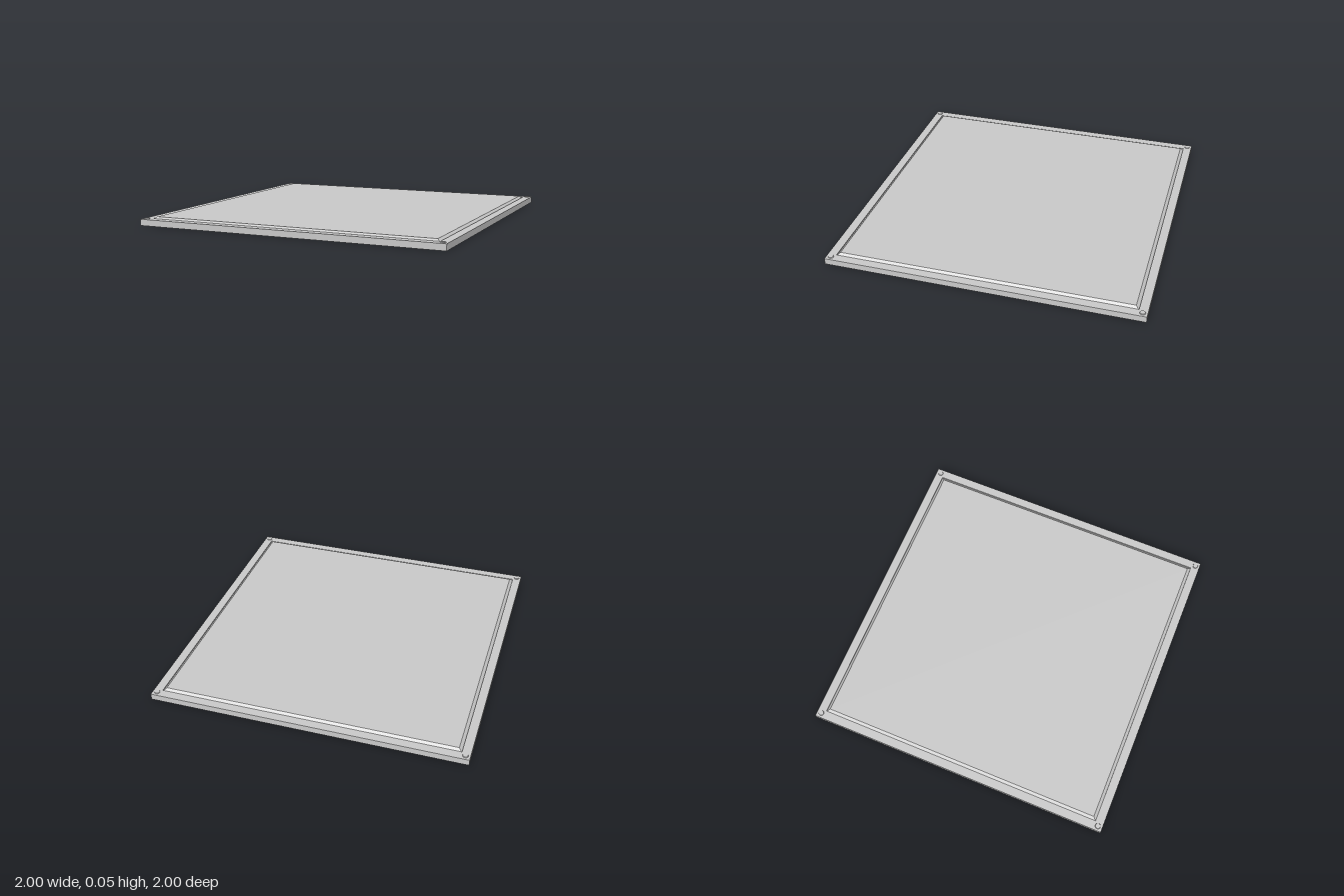
import * as THREE from 'three';

const material = new THREE.MeshStandardMaterial({ color: 0xcccccc, flatShading: true });

// Square solid from a [half width, height] profile, listed bottom to top
function squareLoft(name, profile) {
  const points = profile.map(([half, y]) => new THREE.Vector2(half * Math.SQRT2, y));
  const mesh = new THREE.Mesh(new THREE.LatheGeometry(points, 4, Math.PI / 4), material);
  mesh.name = name;
  return mesh;
}

export function createModel() {
  const model = new THREE.Group();
  model.name = 'floorTile';

  // Slab with a flat border, a fine groove and a bevelled raised panel
  model.add(squareLoft('tileSlab', [
    [0, 0], [1, 0], [1, 0.04], [0.945, 0.04],
    [0.945, 0.032], [0.925, 0.05], [0, 0.05],
  ]));

  // Shallow stud on each corner of the border
  const studGeometry = new THREE.CylinderGeometry(0.016, 0.018, 0.005, 12);
  for (const x of [-1, 1]) {
    for (const z of [-1, 1]) {
      const stud = new THREE.Mesh(studGeometry, material);
      stud.name = 'cornerStud';
      stud.position.set(x * 0.97, 0.0425, z * 0.97);
      model.add(stud);
    }
  }
  return model;
}
